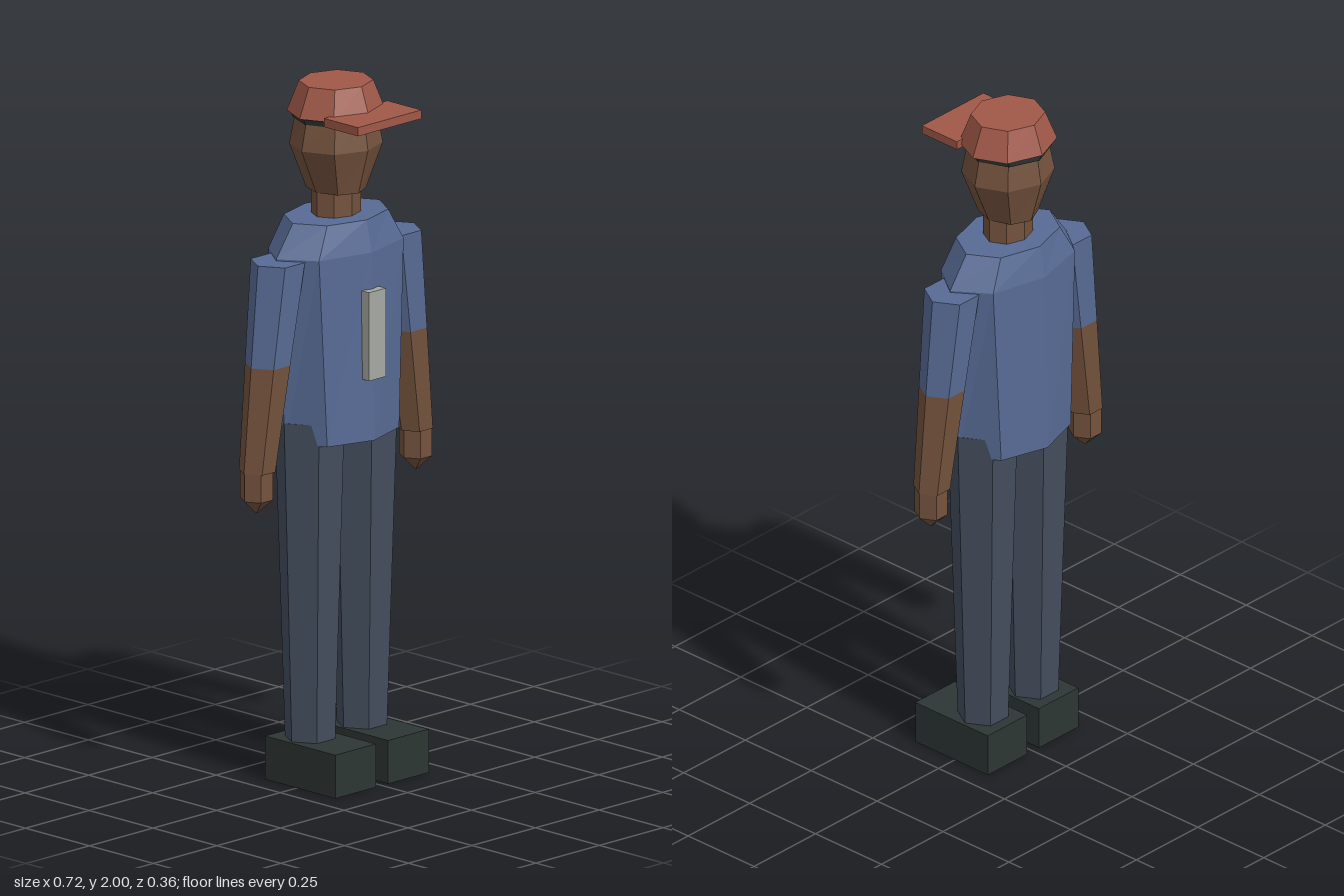
import * as THREE from 'three';

const mat = (name, color) => {
  const m = new THREE.MeshStandardMaterial({ color });
  m.name = name;
  return m;
};

// Faceted solid through rings [y, radiusX, radiusZ, centreX], with capped ends.
// Corners always lie on the x axis.
const BODY_Z = -0.03;
function loft(sides, rings) {
  const point = ([y, rx, rz, cx = 0], i) => {
    const a = Math.PI / 2 + (i / sides) * Math.PI * 2;
    return [cx + Math.sin(a) * rx, y, BODY_Z + Math.cos(a) * rz];
  };
  const centre = ([y, , , cx = 0]) => [cx, y, BODY_Z];
  const pos = [];
  const first = rings[0], last = rings[rings.length - 1];
  for (let i = 0; i < sides; i++) {
    for (let r = 0; r < rings.length - 1; r++) {
      const a = point(rings[r], i), b = point(rings[r], i + 1);
      const c = point(rings[r + 1], i + 1), d = point(rings[r + 1], i);
      pos.push(...a, ...b, ...c, ...a, ...c, ...d);
    }
    pos.push(...centre(last), ...point(last, i), ...point(last, i + 1));
    pos.push(...centre(first), ...point(first, i + 1), ...point(first, i));
  }
  const g = new THREE.BufferGeometry();
  g.setAttribute('position', new THREE.Float32BufferAttribute(pos, 3));
  g.computeVertexNormals();
  return g;
}

// Box given by its extents on each axis
function box(x0, x1, y0, y1, z0, z1) {
  const g = new THREE.BoxGeometry(x1 - x0, y1 - y0, z1 - z0);
  return g.translate((x0 + x1) / 2, (y0 + y1) / 2, (z0 + z1) / 2);
}

export function createModel() {
  const model = new THREE.Group();
  model.name = 'standingFigure';

  const skin = mat('skin', 0x74523d);
  const shirt = mat('shirt blue', 0x586b95);
  const trousers = mat('trouser slate', 0x434d5c);
  const cap = mat('cap red', 0xa05848);
  const dark = mat('dark green', 0x2d3634);
  const grey = mat('light grey', 0xa6a8a3);

  const add = (name, geometry, material) => {
    const mesh = new THREE.Mesh(geometry, material);
    mesh.name = name;
    model.add(mesh);
  };

  // Torso and chest strip
  add('torso', loft(8, [
    [0.99, 0.2, 0.15], [1.53, 0.235, 0.14], [1.62, 0.17, 0.12],
  ]), shirt);
  add('chestStrip', box(-0.033, 0.033, 1.17, 1.425, 0.09, 0.132), grey);

  // Neck, head and hair
  add('neck', loft(8, [[1.6, 0.075, 0.063], [1.72, 0.075, 0.063]]), skin);
  add('head', loft(8, [
    [1.69, 0.078, 0.088], [1.82, 0.135, 0.125], [1.91, 0.115, 0.11],
  ]), skin);
  add('hair', loft(8, [[1.895, 0.122, 0.12], [1.92, 0.13, 0.126]]), dark);

  // Cap
  add('capCrown', loft(8, [[1.915, 0.143, 0.13], [2, 0.107, 0.1]]), cap);
  add('capBrim', box(-0.125, 0.125, 1.905, 1.93, 0.047, 0.18), cap);

  // Limbs, mirrored left and right
  for (const [side, s] of [['left', 1], ['right', -1]]) {
    add(side + 'Sleeve', loft(6, [
      [1.235, 0.065, 0.065, s * 0.269], [1.525, 0.078, 0.078, s * 0.229],
    ]), shirt);
    add(side + 'Forearm', loft(6, [
      [0.935, 0.052, 0.052, s * 0.31], [1.235, 0.065, 0.065, s * 0.269],
    ]), skin);
    add(side + 'Hand', loft(6, [
      [0.815, 0.004, 0.004, s * 0.313], [0.855, 0.046, 0.048, s * 0.313],
      [0.94, 0.046, 0.048, s * 0.313],
    ]), skin);
    add(side + 'Leg', loft(6, [
      [0.12, 0.072, 0.072, s * 0.102], [1.05, 0.1, 0.1, s * 0.104],
    ]), trousers);
    const x = s * 0.104;
    add(side + 'Shoe', box(x - 0.08, x + 0.08, 0, 0.125, -0.125, 0.15), dark);
  }

  return model;
}
